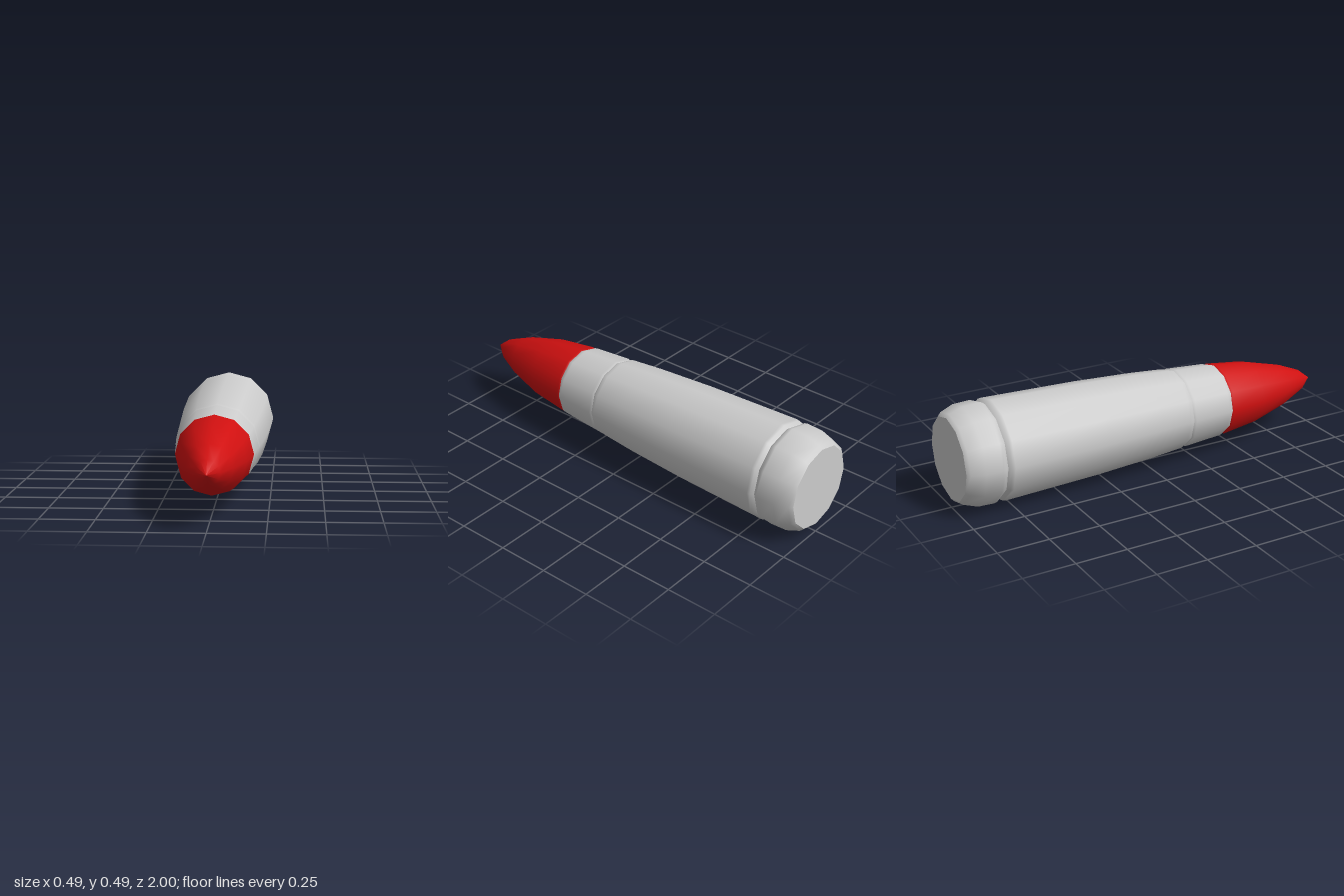
import * as THREE from 'three';

const SIDES = 12;
const AXIS_Y = 0.244;

// Turned part along z; profile is [radius, z] from back to front
function turned(name, profile, material) {
  const points = profile.map(([r, z]) => new THREE.Vector2(r, z));
  const geometry = new THREE.LatheGeometry(points, SIDES);
  geometry.rotateX(Math.PI / 2);
  geometry.translate(0, AXIS_Y, 0);
  const mesh = new THREE.Mesh(geometry, material);
  mesh.name = name;
  return mesh;
}

export function createModel() {
  const group = new THREE.Group();
  group.name = 'cartridge';
  const grey = new THREE.MeshStandardMaterial({ color: 0xcccccc });
  const red = new THREE.MeshStandardMaterial({ color: 0xd01010 });

  group.add(
    // Flat back end
    turned('basePlate', [[0, -1], [0.2, -1]], grey),
    // Rounded rim up to the bottom of the rear groove
    turned('rim', [[0.2, -1], [0.216, -0.985], [0.24, -0.92], [0.243, -0.84], [0.24, -0.825], [0.228, -0.81]], grey),
    // Tapered case between the two grooves
    turned('caseBody', [[0.228, -0.81], [0.241, -0.795], [0.243, -0.78], [0.229, -0.3], [0.213, 0], [0.2, 0.16], [0.198, 0.175], [0.192, 0.187]], grey),
    // Neck holding the tip
    turned('caseNeck', [[0.192, 0.187], [0.196, 0.2], [0.183, 0.395], [0.18, 0.41], [0.174, 0.42]], grey),
    // Pointed tip
    turned('tip', [[0.174, 0.415], [0.18, 0.425], [0.156, 0.62], [0.105, 0.81], [0.055, 0.93], [0, 1]], red),
  );
  return group;
}
